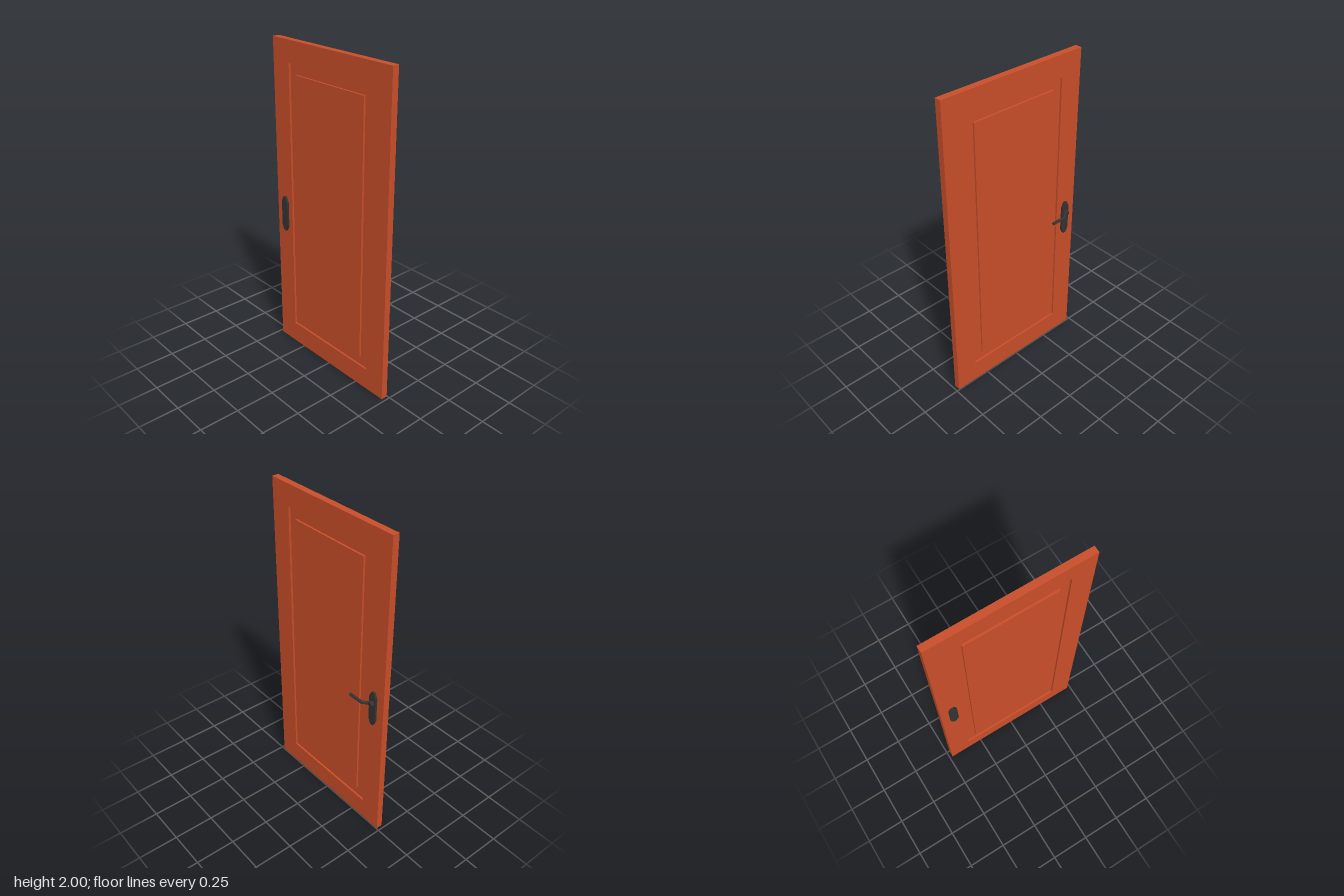
import * as THREE from 'three';

const wood = new THREE.MeshStandardMaterial({ color: 0xc94e29, flatShading: true });
const iron = new THREE.MeshStandardMaterial({ color: 0x333333, flatShading: true });

function add(parent, name, geometry, material, x = 0, y = 0, z = 0) {
  const mesh = new THREE.Mesh(geometry, material);
  mesh.name = name;
  mesh.position.set(x, y, z);
  parent.add(mesh);
  return mesh;
}

function rectangle(path, w, y0, y1) {
  path.moveTo(-w, y0).lineTo(w, y0).lineTo(w, y1).lineTo(-w, y1).closePath();
  return path;
}

// Extrudes a shape drawn in (z, y) along x, from x0 to x1
function slab(shape, x0, x1) {
  const g = new THREE.ExtrudeGeometry(shape, { depth: x1 - x0, bevelEnabled: false });
  g.rotateY(-Math.PI / 2); // shape x -> +z, depth -> -x
  return g.translate(x1, 0, 0);
}

// Octagonal bar following (x, z) points at constant height, mitred at the bends
function bar(points, radius) {
  const n = points.length - 1;
  const p = points.map(([x, z]) => new THREE.Vector2(x, z));
  const dirs = p.slice(1).map((q, i) => q.clone().sub(p[i]).normalize());
  const g = new THREE.CylinderGeometry(radius, radius, 1, 8, n);
  g.rotateY(Math.PI / 8);
  const pos = g.attributes.position;
  for (let v = 0; v < pos.count; v++) {
    const i = Math.round((pos.getY(v) + 0.5) * n);
    const a = dirs[Math.max(i - 1, 0)], b = dirs[Math.min(i, n - 1)];
    const t = a.clone().add(b).normalize();
    const s = pos.getX(v) / t.dot(a);
    pos.setXYZ(v, p[i].x - t.y * s, pos.getZ(v), p[i].y + t.x * s);
  }
  g.computeVertexNormals();
  return g;
}

export function createModel() {
  const model = new THREE.Group();
  const back = -0.045, front = -0.004, groove = 0.012;

  // Door leaf: frame, recessed web and raised centre panel on both faces
  const door = new THREE.Group();
  door.name = 'doorLeaf';
  model.add(door);
  const frame = rectangle(new THREE.Shape(), 0.48, 0, 2);
  frame.holes.push(rectangle(new THREE.Path(), 0.34, 0.138, 1.868));
  add(door, 'doorFrame', slab(frame, back, front), wood);
  add(door, 'recessedPanel', slab(rectangle(new THREE.Shape(), 0.34, 0.138, 1.868), back + groove, front - groove), wood);
  add(door, 'raisedPanel', slab(rectangle(new THREE.Shape(), 0.28, 0.195, 1.81), back, front), wood);

  // Handle plates with chamfered corners
  const handle = new THREE.Group();
  handle.name = 'handle';
  model.add(handle);
  const w = 0.026, h = 0.114, cz = 0.016, cy = 0.034;
  const plate = new THREE.Shape([
    [w, cy - h], [w, h - cy], [w - cz, h], [cz - w, h],
    [-w, h - cy], [-w, cy - h], [cz - w, -h], [w - cz, -h],
  ].map(([x, y]) => new THREE.Vector2(x, y)));
  add(handle, 'leverPlate', slab(plate, front - 0.002, 0.009), iron, 0, 0.916, -0.402);
  add(handle, 'backPlate', slab(plate, -0.058, back + 0.002), iron, 0, 0.916, -0.402);

  // Neck with a chamfered end
  const neck = new THREE.LatheGeometry(
    [[0, 0.005], [0.019, 0.005], [0.019, 0.023], [0.014, 0.029], [0, 0.029]].map(([r, x]) => new THREE.Vector2(r, x)), 8);
  neck.rotateZ(-Math.PI / 2);
  add(handle, 'handleNeck', neck, iron, 0, 0.955, -0.403);

  // Bent lever
  add(handle, 'lever', bar([[0.013, -0.395], [0.047, -0.357], [0.047, -0.261]], 0.0097), iron, 0, 0.955, 0);

  return model;
}
